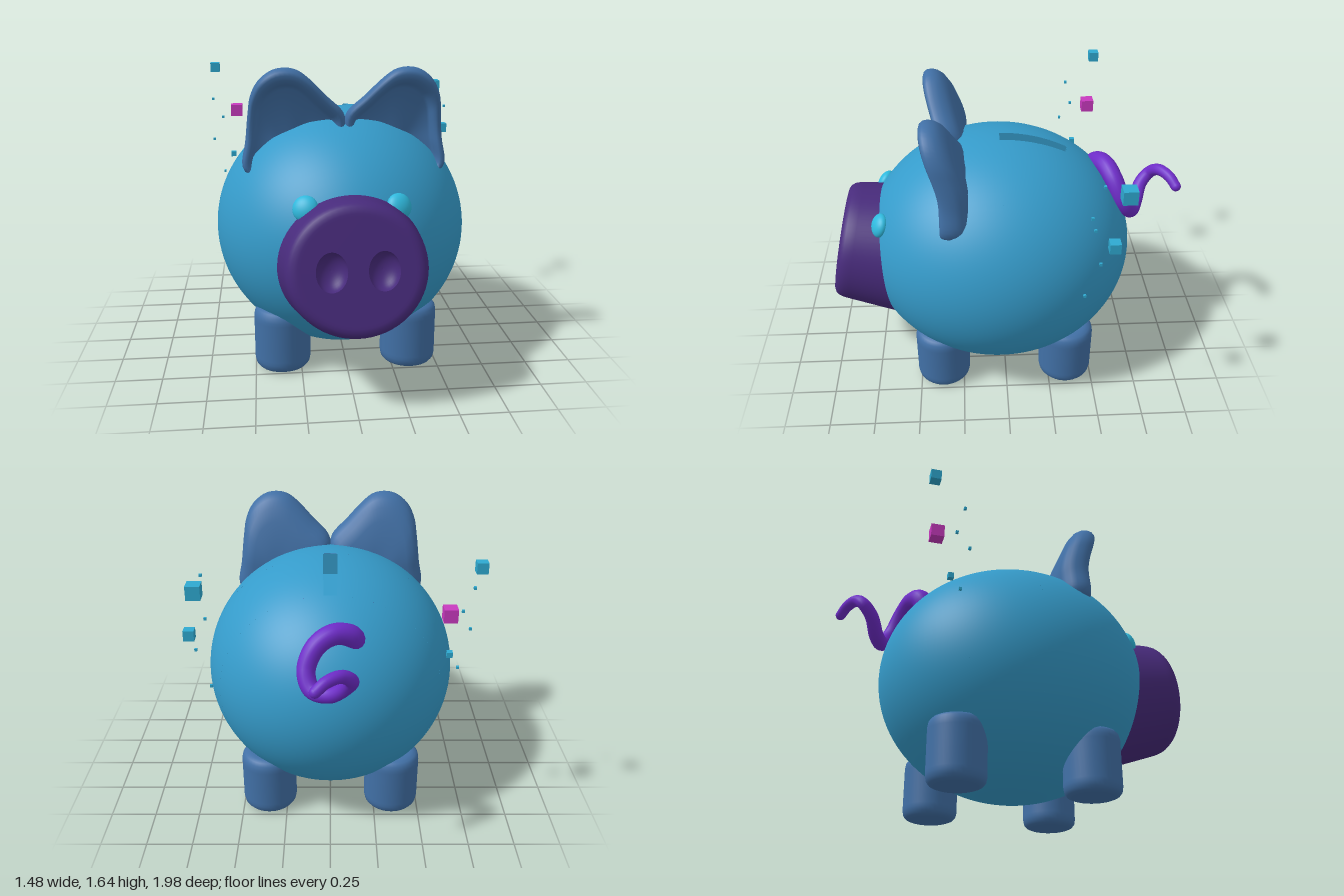
import * as THREE from 'three';

const mat = (name, color, side = THREE.FrontSide) =>
  Object.assign(new THREE.MeshStandardMaterial({ color, side }), { name });
const V2 = (p) => p.map(([x, y]) => new THREE.Vector2(x, y));
const V3 = (p) => p.map(([x, y, z]) => new THREE.Vector3(x, y, z));

// Body ellipsoid
const C = { y: 0.72, z: 0.03 }, R = { x: 0.7, y: 0.67, z: 0.755 };
const topAt = (x, z) => C.y + R.y * Math.sqrt(1 - (x / R.x) ** 2 - ((z - C.z) / R.z) ** 2);

export function createModel() {
  const model = new THREE.Group();
  const m = {
    body: mat('bodyBlue', 0x359bca, THREE.DoubleSide),
    limb: mat('slateBlue', 0x4170a6),
    snout: mat('deepPurple', 0x482b7c),
    tail: mat('violet', 0x6e2cc8),
    eye: mat('brightCyan', 0x2fb9dd),
    cube: mat('cubeCyan', 0x2ea9d0),
    pink: mat('magenta', 0xc83abf),
  };
  const add = (parent, name, geo, material, x = 0, y = 0, z = 0) => {
    const mesh = new THREE.Mesh(geo, material);
    mesh.name = name;
    mesh.position.set(x, y, z);
    parent.add(mesh);
    return mesh;
  };

  // Body in three bands; the middle one leaves a gap for the coin slot
  const body = new THREE.Group();
  body.name = 'body';
  model.add(body);
  const slot = { front: 0.02, back: -0.35, half: 0.04 };
  const t1 = Math.acos((slot.front - C.z) / R.z), t2 = Math.acos((slot.back - C.z) / R.z);
  const gap = 0.057;
  const band = (name, from, to, g, rows) => {
    const geo = new THREE.SphereGeometry(1, 96, rows, Math.PI * 1.5 + g, Math.PI * 2 - 2 * g, from, to - from);
    geo.rotateX(Math.PI / 2).scale(R.x, R.y, R.z);
    add(body, name, geo, m.body, 0, C.y, C.z);
  };
  band('bodyFront', 0, t1, 0, 28);
  band('bodyMiddle', t1, t2, gap, 12);
  band('bodyBack', t2, Math.PI, 0, 20);

  // Coin slot pocket: a box without its lid, rim fitted to the body
  const pocket = new THREE.BoxGeometry(slot.half * 2, 1, slot.front - slot.back, 1, 1, 12);
  const zMid = (slot.front + slot.back) / 2;
  const pp = pocket.attributes.position;
  for (let i = 0; i < pp.count; i++) {
    const top = topAt(pp.getX(i), pp.getZ(i) + zMid);
    pp.setY(i, pp.getY(i) > 0 ? top : top - 0.12);
  }
  const lid = pocket.groups[2];
  pocket.setIndex([...pocket.index.array].filter((_, i) => i < lid.start || i >= lid.start + lid.count));
  pocket.clearGroups();
  add(body, 'coinSlot', pocket, m.body, 0, 0, zMid);

  // Snout: tapered barrel tilted slightly upward, with two hollow nostrils
  const snout = new THREE.Group();
  snout.name = 'snout';
  snout.position.set(0, 0.745, 0.935);
  snout.rotation.x = 1.369;
  snout.scale.x = 1.04;
  model.add(snout);
  add(snout, 'snoutBarrel', new THREE.LatheGeometry(V2([
    [0.395, -0.55], [0.365, -0.3], [0.336, -0.08], [0.332, -0.055], [0.324, -0.03],
    [0.31, -0.011], [0.292, -0.002], [0.275, 0], [0.26, 0],
  ]), 64), m.snout);
  const face = new THREE.Shape().absarc(0, 0, 0.26, 0, Math.PI * 2);
  const bowl = [];
  for (let i = 0; i <= 10; i++) {
    const a = (i / 10) * Math.PI / 2;
    bowl.push([Math.cos(a), -Math.sin(a)]);
  }
  for (const s of [1, -1]) {
    face.holes.push(new THREE.Path().absellipse(s * 0.12, 0, 0.073, 0.096, 0, Math.PI * 2, true));
    const geo = new THREE.LatheGeometry(V2(bowl), 32).scale(0.074, 0.07, 0.097);
    add(snout, s > 0 ? 'leftNostril' : 'rightNostril', geo, m.snout, s * 0.12, 0, 0);
  }
  add(snout, 'snoutFace', new THREE.ShapeGeometry(face, 32).rotateX(-Math.PI / 2), m.snout);

  // Legs
  const legGeo = new THREE.LatheGeometry(V2([
    [0, 0], [0.1, 0], [0.115, 0.001], [0.135, 0.009], [0.148, 0.025], [0.153, 0.05], [0.153, 0.07],
    [0.153, 0.28], [0.153, 0.3], [0.148, 0.325], [0.135, 0.341], [0.115, 0.349], [0.1, 0.35], [0, 0.35],
  ]), 40);
  for (const s of [1, -1]) {
    const side = s > 0 ? 'left' : 'right';
    add(model, side + 'FrontLeg', legGeo, m.limb, s * 0.35, 0, 0.367);
    add(model, side + 'BackLeg', legGeo, m.limb, s * 0.35, 0, -0.35);
  }

  // Ears: hollow shells leaning forward
  const earGeo = makeEar();
  for (const s of [1, -1]) add(model, s > 0 ? 'leftEar' : 'rightEar', earGeo, m.limb).scale.x = s;

  // Eyes lie flat against the body
  const eyeGeo = new THREE.SphereGeometry(0.066, 32, 20).scale(1, 1, 0.6);
  for (const s of [1, -1]) {
    const eye = add(model, s > 0 ? 'leftEye' : 'rightEye', eyeGeo, m.eye, s * 0.232, 0.985, 0.68);
    eye.lookAt(s * 0.7, 1.57, 1.9);
  }

  // Curly tail, tapering to a rounded tip
  const curve = new THREE.CatmullRomCurve3(V3([
    [-0.12, 1.05, -0.49], [-0.11, 1.15, -0.53], [-0.02, 1.185, -0.57], [0.07, 1.14, -0.61],
    [0.12, 1.03, -0.66], [0.09, 0.95, -0.715], [0, 0.95, -0.76], [-0.08, 1.02, -0.8],
    [-0.1, 1.08, -0.85], [-0.05, 1.125, -0.89], [0.02, 1.12, -0.935], [0.07, 1.085, -0.965],
  ]));
  const rings = 96, sides = 16;
  const tube = new THREE.TubeGeometry(curve, rings, 1, sides);
  const tp = tube.attributes.position, v = new THREE.Vector3();
  const tailRadius = (u) => 0.062 - 0.034 * u;
  for (let i = 0; i < tp.count; i++) {
    const u = Math.floor(i / (sides + 1)) / rings;
    const c = curve.getPointAt(u);
    v.fromBufferAttribute(tp, i).sub(c).multiplyScalar(tailRadius(u)).add(c);
    tp.setXYZ(i, v.x, v.y, v.z);
  }
  add(model, 'tail', tube, m.tail);
  add(model, 'tailTip', new THREE.SphereGeometry(tailRadius(1), 16, 12), m.tail, 0.07, 1.085, -0.965);

  // Floating cubes: x, y, z, size
  const cubes = [
    [-0.715, 1.545, -0.583, 0.055], [0.658, 1.415, -0.565, 0.072], [0.71, 1.155, -0.508, 0.055],
    [-0.615, 1.02, -0.465, 0.03],
  ];
  const specks = [
    [0.64, 1.45, -0.45], [0.695, 1.31, -0.393], [0.64, 1.2, -0.422], [0.695, 1.037, -0.45], [0.64, 0.79, -0.393],
    [-0.725, 1.37, -0.422], [-0.67, 1.255, -0.45], [-0.725, 1.13, -0.393], [-0.67, 0.92, -0.425],
  ].map((p) => [...p, 0.014]);
  for (const [x, y, z, d] of [...cubes, ...specks])
    add(model, 'floatingCube', new THREE.BoxGeometry(d, d, d), m.cube, x, y, z);
  add(model, 'floatingPinkCube', new THREE.BoxGeometry(0.07, 0.07, 0.07), m.pink, -0.59, 1.283, -0.542);
  return model;
}

// Ear lofted from scaled copies of its outline: back, edge, rim, hollow
function makeEar() {
  const n = 72, cx = 0.27, cy = 1.17;
  const outline = new THREE.CatmullRomCurve3(V3([
    [0, 1.2, 0], [0, 1.3, 0], [0.005, 1.39, 0], [0.1, 1.49, 0], [0.2, 1.59, 0], [0.25, 1.625, 0], [0.31, 1.638, 0],
    [0.38, 1.625, 0], [0.45, 1.57, 0], [0.49, 1.49, 0], [0.505, 1.4, 0], [0.522, 1.25, 0], [0.542, 1.12, 0],
    [0.52, 1.08, 0], [0.4, 1.1, 0], [0.2, 1.15, 0],
  ]), true, 'centripetal').getSpacedPoints(n).slice(0, n);
  const layers = [
    [0.001, -0.09], [0.4, -0.09], [0.7, -0.088], [0.85, -0.078], [0.94, -0.055], [0.985, -0.025], [1, 0.005],
    [0.99, 0.032], [0.96, 0.05], [0.92, 0.058], [0.87, 0.053], [0.83, 0.036], [0.81, 0.012],
    [0.79, -0.018], [0.75, -0.035], [0.5, -0.045], [0.001, -0.045],
  ];
  const pos = [], idx = [];
  layers.forEach(([s, dz], j) => outline.forEach((p, i) => {
    const x = cx + (p.x - cx) * s, y = cy + (p.y - cy) * s;
    const lean = 0.285 + 0.095 * THREE.MathUtils.smoothstep(y, 1.25, 1.66);
    pos.push(x, y, lean + dz);
    if (j === layers.length - 1) return;
    const a = j * n + i, b = j * n + (i + 1) % n;
    idx.push(a, a + n, b, b, a + n, b + n);
  }));
  const geo = new THREE.BufferGeometry();
  geo.setAttribute('position', new THREE.Float32BufferAttribute(pos, 3));
  geo.setIndex(idx);
  geo.computeVertexNormals();
  return geo;
}
